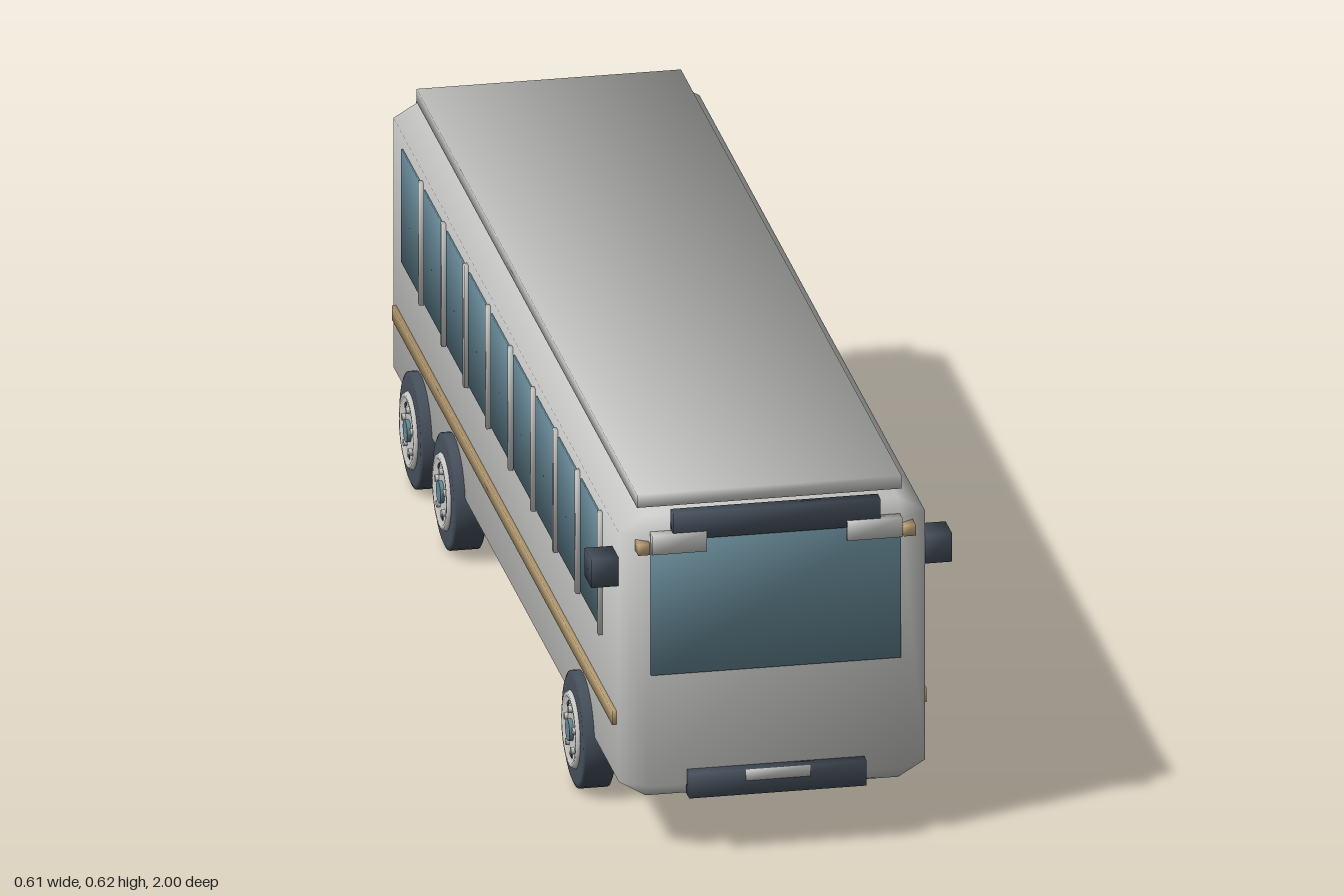
import * as THREE from 'three';
import { ConvexGeometry } from 'three/addons/geometries/ConvexGeometry.js';

const mat = (name, color) => new THREE.MeshStandardMaterial({ name, color });

export function createModel() {
  const bus = new THREE.Group();
  bus.name = 'bus';
  const paint = mat('silverPaint', 0xcacbc8);
  const glass = mat('tealGlass', 0x668896);
  const dark = mat('darkRubber', 0x46505c);
  const tan = mat('tanTrim', 0xbfa478);
  const red = mat('tailRed', 0xc05a54);

  const add = (name, geometry, material, parent = bus) => {
    const mesh = new THREE.Mesh(geometry, material);
    mesh.name = name;
    parent.add(mesh);
    return mesh;
  };

  // Box given by its limits, with soft normals pointing out through the corners
  const softBox = (name, [x0, x1], [y0, y1], [z0, z1], material) => {
    const g = new THREE.BoxGeometry(x1 - x0, y1 - y0, z1 - z0);
    const p = g.attributes.position, n = new THREE.Vector3();
    for (let i = 0; i < p.count; i++) {
      n.set(Math.sign(p.getX(i)), Math.sign(p.getY(i)), Math.sign(p.getZ(i))).normalize();
      g.attributes.normal.setXYZ(i, n.x, n.y, n.z);
    }
    const mesh = add(name, g, material);
    mesh.position.set((x0 + x1) / 2, (y0 + y1) / 2, (z0 + z1) / 2);
    return mesh;
  };
  // Same box, on the side given by s (+1 left, -1 right)
  const sideBox = (name, s, [a, b], y, z, material) =>
    softBox(name, s > 0 ? [a, b] : [-b, -a], y, z, material);

  // Body shell: chamfered box with softened normals
  const half = [0.257, 0.2475, 0.977], bevel = [0.045, 0.027, 0.03];
  const corners = [];
  for (let axis = 0; axis < 3; axis++)
    for (let k = 0; k < 8; k++) {
      const c = [0, 1, 2].map(i => ((k >> i) & 1 ? 1 : -1) * (half[i] - (i === axis ? 0 : bevel[i])));
      corners.push(new THREE.Vector3(...c));
    }
  const shell = new ConvexGeometry(corners);
  const sp = shell.attributes.position, sn = shell.attributes.normal;
  for (let i = 0; i < sp.count; i++) {
    const c = [sp.getX(i), sp.getY(i), sp.getZ(i)];
    const n = new THREE.Vector3(...c.map((v, a) =>
      Math.sign(v) * (Math.abs(v) > half[a] - 0.001 ? 3 : 1))).normalize();
    sn.setXYZ(i, n.x, n.y, n.z);
  }
  add('body', shell, paint).position.y = 0.3405;

  // Roof panel on a recessed spacer
  softBox('roofSpacer', [-0.18, 0.18], [0.58, 0.6], [-0.88, 0.88], paint);
  softBox('roofPanel', [-0.222, 0.222], [0.594, 0.617], [-0.928, 0.925], paint);

  // Front and rear end fittings
  softBox('windshield', [-0.21, 0.21], [0.318, 0.568], [0.976, 0.982], glass);
  softBox('rearWindow', [-0.21, 0.21], [0.318, 0.568], [-0.982, -0.976], glass);
  softBox('destinationSign', [-0.174, 0.174], [0.557, 0.604], [0.965, 0.987], dark);
  for (const end of [1, -1]) {
    const zr = (a, b) => (end > 0 ? [a, b] : [-b, -a]);
    softBox('bumper', [-0.149, 0.149], [0.102, 0.146], zr(0.972, 0.998), dark);
    softBox('bumperPlate', [-0.054, 0.054], [0.127, 0.146], zr(0.99, 1.0), paint);
    for (const s of [1, -1])
      sideBox(end > 0 ? 'headlight' : 'tailLight', s, [0.118, 0.21], [0.535, 0.569],
        zr(0.972, 0.992), end > 0 ? paint : red);
  }

  // One wheel, its axis along x and its outer face towards +x
  const makeWheel = () => {
    const wheel = new THREE.Group();
    wheel.name = 'wheel';
    const lathe = pts => new THREE.LatheGeometry(
      pts.map(p => new THREE.Vector2(...p)), 32).rotateZ(-Math.PI / 2);
    const disc = (r, w) => new THREE.CylinderGeometry(r, r, w, 24).rotateZ(-Math.PI / 2);
    add('tyre', lathe([[0.062, -0.0275], [0.09, -0.0275], [0.098, -0.024], [0.098, 0.024],
      [0.09, 0.0275], [0.062, 0.0275]]), dark, wheel);
    add('rim', lathe([[0, -0.029], [0.052, -0.029], [0.056, -0.034], [0.062, -0.034], [0.066, -0.027],
      [0.066, 0.027], [0.062, 0.034], [0.056, 0.034], [0.052, 0.029], [0, 0.029]]), paint, wheel);
    add('hubCap', disc(0.019, 0.072), glass, wheel);
    for (let i = 0; i < 5; i++) {
      const a = (i / 5) * Math.PI * 2 + Math.PI / 2;
      add('wheelNut', disc(0.006, 0.07), paint, wheel)
        .position.set(0, Math.sin(a) * 0.036, Math.cos(a) * 0.036);
      const slot = add('rimSlot', new THREE.BoxGeometry(0.061, 0.006, 0.016), dark, wheel);
      slot.position.set(0, Math.sin(a + 0.63) * 0.045, Math.cos(a + 0.63) * 0.045);
      slot.rotation.x = Math.PI / 2 - a - 0.63;
    }
    return wheel;
  };

  for (const s of [1, -1]) {
    // Corner markers, mirrors and waist stripe
    sideBox('markerLamp', s, [0.213, 0.233], [0.535, 0.554], [0.955, 0.99], tan);
    sideBox('mirror', s, [0.255, 0.303], [0.466, 0.516], [0.89, 0.945], dark);
    sideBox('waistStripe', s, [0.25, 0.264], [0.213, 0.238], [-0.925, 0.925], tan);

    // Side windows and posts; the two door bays are on the left side only
    for (let i = 0; i < 9; i++) {
      const z = 0.717 - 0.188 * i;
      if (s > 0 && (i === 2 || i === 3)) continue;
      sideBox('sideWindow', s, [0.254, 0.26], [0.337, 0.537], [z - 0.081, z + 0.081], glass);
      sideBox('windowPost', s, [0.252, 0.264], [0.327, 0.544], [z + 0.081, z + 0.093], paint);
    }

    for (const z of [0.647, -0.438, -0.717]) {
      const wheel = makeWheel();
      wheel.position.set(s * 0.2475, 0.098, z);
      wheel.rotation.y = s > 0 ? 0 : Math.PI;
      bus.add(wheel);
    }
  }

  // Double entrance door with posts and step
  for (const [z0, z1] of [[0.32, 0.438], [0.16, 0.278]]) {
    softBox('doorGlass', [0.254, 0.261], [0.13, 0.51], [z0, z1], glass);
    softBox('doorPost', [0.252, 0.267], [0.115, 0.514], [z1, z1 + 0.012], paint);
  }
  softBox('doorStep', [0.245, 0.272], [0.108, 0.14], [0.118, 0.487], dark);

  return bus;
}
